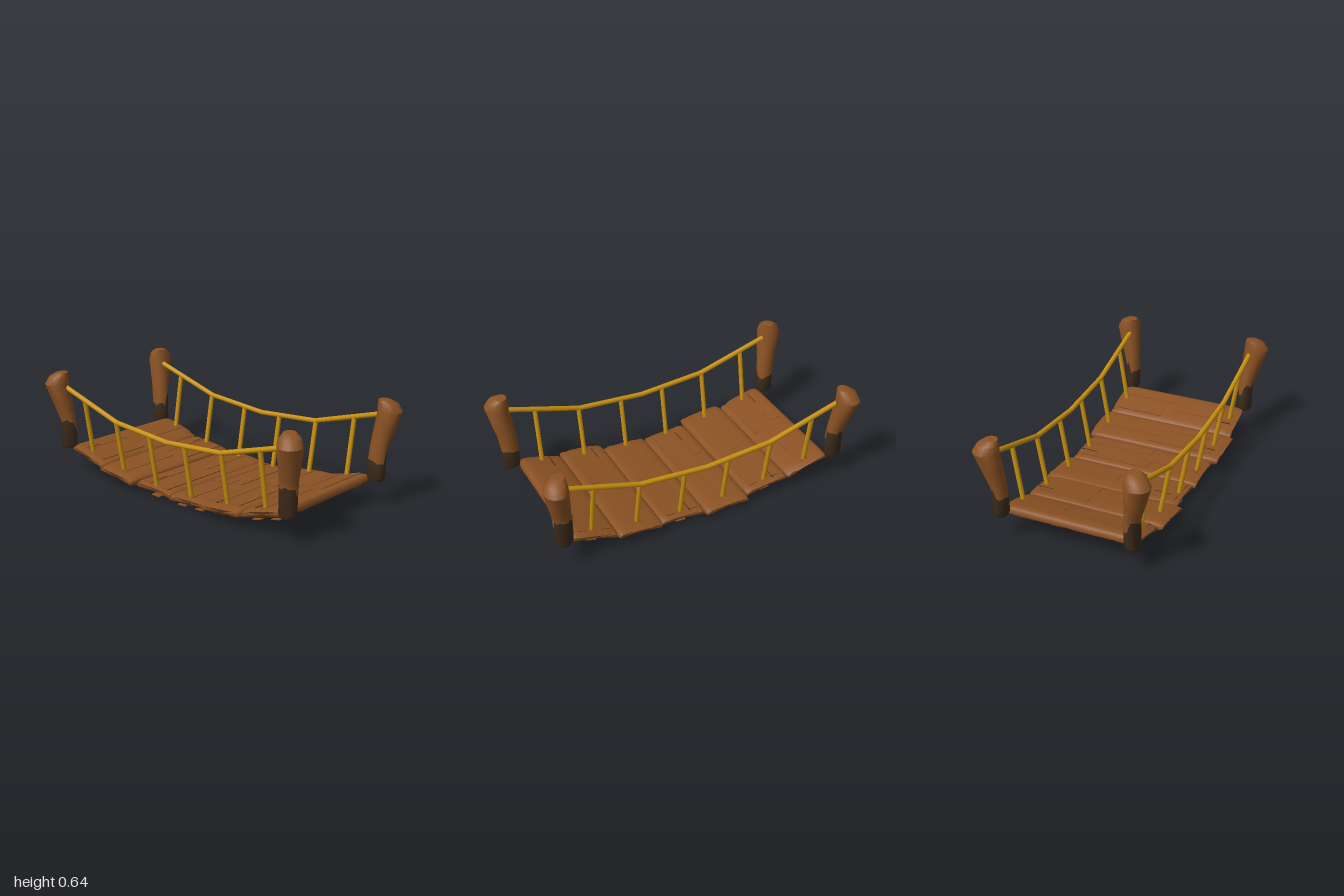
import * as THREE from 'three';
import { toCreasedNormals } from 'three/addons/utils/BufferGeometryUtils.js';

const V = (x, y, z) => new THREE.Vector3(x, y, z);
const mat = (name, color) => {
  const m = new THREE.MeshStandardMaterial({ color });
  m.name = name;
  return m;
};

// Skin a list of equal-length rings, cap both ends; isDark(i, k) picks material 1 for a cell
function loft(rings, isDark) {
  const n = rings[0].length, pos = [], light = [], dark = [];
  rings.forEach(r => r.forEach(p => pos.push(p.x, p.y, p.z)));
  for (let i = 0; i < rings.length - 1; i++) {
    for (let k = 0; k < n; k++) {
      const k2 = (k + 1) % n;
      const a = i * n + k, b = i * n + k2, c = b + n, d = a + n;
      (isDark(i, k) ? dark : light).push(a, d, c, a, c, b);
    }
  }
  [0, rings.length - 1].forEach(i => {
    const mid = V(0, 0, 0);
    rings[i].forEach(p => mid.addScaledVector(p, 1 / n));
    const m = pos.length / 3;
    pos.push(mid.x, mid.y, mid.z);
    const cell = i ? i - 1 : 0;
    for (let k = 0; k < n; k++) {
      const a = i * n + k, b = i * n + (k + 1) % n;
      (isDark(cell, 0) ? dark : light).push(m, i ? b : a, i ? a : b);
    }
  });
  const g = new THREE.BufferGeometry();
  g.setAttribute('position', new THREE.Float32BufferAttribute(pos, 3));
  g.setIndex([...light, ...dark]);
  g.addGroup(0, light.length, 0);
  g.addGroup(light.length, dark.length, 1);
  return toCreasedNormals(g, 0.65);
}

// Repeatable noise in -1..1
const noise = (a, b = 0) => {
  const s = Math.sin(a * 12.99 + b * 78.23) * 43758.5453;
  return 2 * (s - Math.floor(s)) - 1;
};

export function createModel() {
  const model = new THREE.Group();
  model.name = 'ropeBridge';
  const wood = mat('wood', 0x8b5224);
  const darkWood = mat('darkWood', 0x3e2d1c);
  const rope = mat('goldenRope', 0xc8900f);

  const add = (parent, name, geo, material) => {
    const m = new THREE.Mesh(geo, material);
    m.name = name;
    parent.add(m);
    return m;
  };
  const strut = (name, a, b, r) => {
    const m = add(model, name, new THREE.CylinderGeometry(r, r, a.distanceTo(b), 8), rope);
    m.position.copy(a).lerp(b, 0.5);
    m.quaternion.setFromUnitVectors(V(0, 1, 0), b.clone().sub(a).normalize());
  };

  // Planks: z, y, tilt, left end, right end, crack x, crack z offset
  const planks = [
    [-0.705, 0.128, 0.26, -0.42, 0.42, -0.32, -0.055],
    [-0.425, 0.078, 0.11, -0.445, 0.415, 0.34, -0.055],
    [-0.142, 0.047, 0.05, -0.405, 0.447, -0.28, -0.05],
    [0.142, 0.047, -0.05, -0.41, 0.41, 0.34, -0.05],
    [0.425, 0.078, -0.11, -0.448, 0.44, -0.34, -0.055],
    [0.705, 0.128, -0.26, -0.42, 0.42, -0.34, -0.045],
  ];
  const N = 28, STEPS = 30;
  planks.forEach(([z, y, tilt, xl, xr, crackX, crackZ], p) => {
    const plank = new THREE.Group();
    plank.name = 'plank' + (p + 1);
    plank.position.set(0, y, z);
    plank.rotation.x = tilt;
    model.add(plank);

    // Rounded board with worn ends and an uneven underside
    const rings = [];
    for (let i = 0; i <= STEPS; i++) {
      const t = i / STEPS, end = Math.min(i, STEPS - i);
      const sh = [0.62, 0.9][end] ?? 1, sw = [0.95, 0.985][end] ?? 1;
      const ring = [];
      for (let k = 0; k < N; k++) {
        const a = k / N * Math.PI * 2, c = Math.cos(a), s = Math.sin(a);
        const low = Math.max(0, -s);
        const inset = 0.035 * low + 0.006 * (1 + noise(Math.round(c * 2), p));
        const x0 = xl + inset, x1 = xr - inset;
        const wear = low * 0.004 * noise(i + p * 7, Math.round(c * 3));
        ring.push(V(x0 + (x1 - x0) * t,
          sh * 0.034 * Math.sign(s) * Math.sqrt(Math.abs(s)) + wear,
          sw * 0.142 * Math.sign(c) * Math.sqrt(Math.abs(c))));
      }
      rings.push(ring);
    }
    // Dark weathered patches under the plank ends
    const patch = (i, k) => {
      if (k < N * 0.55 || k > N * 0.95) return false;
      const end = Math.min(i, STEPS - 1 - i);
      return end < 3 + 2.5 * noise(k >> 1, p + (i > 15 ? 9 : 0));
    };
    add(plank, 'board', loft(rings, patch), [wood, darkWood]);

    // Raised grain strips above and below
    for (let j = 0; j < 3; j++) {
      const len = 0.36 + 0.1 * noise(j, p + 3);
      const side = (j + p) % 2 ? 1 : -1;
      [1, -1].forEach(up => {
        const g = add(plank, 'grainStrip', new THREE.BoxGeometry(len, 0.006, 0.06), wood);
        g.position.set(side * up * (0.375 - len / 2), up * 0.0335, -0.07 + j * 0.07);
      });
    }

    // Thin crack
    const crack = add(plank, 'crack', new THREE.BoxGeometry(0.1, 0.004, 0.004), darkWood);
    crack.position.set(crackX, 0.036, crackZ);
  });

  // Posts: y, centre x, radius x, centre z, radius z
  const profile = [
    [0.162, 0.4, 0.036, 0.885, 0.042],
    [0.18, 0.4, 0.046, 0.886, 0.053],
    [0.28, 0.401, 0.046, 0.888, 0.055],
    [0.375, 0.408, 0.049, 0.896, 0.056],
    [0.46, 0.425, 0.06, 0.911, 0.063],
    [0.575, 0.446, 0.076, 0.931, 0.07],
    [0.62, 0.436, 0.06, 0.922, 0.058],
    [0.644, 0.422, 0.037, 0.907, 0.035],
  ];
  for (const sx of [-1, 1]) for (const sz of [-1, 1]) {
    const rings = profile.map(([y, cx, rx, cz, rz], i) => Array.from({ length: 16 }, (_, k) => {
      const a = (k + 0.5) / 16 * Math.PI * 2, c = Math.cos(a), s = Math.sin(a);
      // The dark foot climbs higher on the outer side with a ragged edge
      const rag = i === 2 ? (c * sx > 0.1 ? 0.06 : 0) + 0.012 * noise(k, sx + sz * 3) : 0;
      return V(sx * cx + rx * c, y + rag, sz * cz + rz * s);
    }));
    add(model, (sz > 0 ? 'front' : 'back') + (sx > 0 ? 'Left' : 'Right') + 'Post',
      loft(rings, i => i < 2), [wood, darkWood]);
  }

  // Rope rails sagging between the posts, with leaning uprights
  const sag = [[-0.89, 0.556], [-0.42, 0.418], [0, 0.386], [0.42, 0.418], [0.89, 0.556]];
  for (const sx of [-1, 1]) {
    const pts = sag.map(([z, y]) => V(sx * 0.418, y, z));
    for (let i = 0; i < 4; i++) strut('handRail', pts[i], pts[i + 1], 0.0155);
    pts.slice(1, 4).forEach(q => {
      add(model, 'railJoint', new THREE.SphereGeometry(0.0155, 8, 6), rope).position.copy(q);
    });
    [[0.705, 0.5], [0.425, 0.416], [0.142, 0.394]].forEach(([z, top], i) => {
      for (const sz of [-1, 1]) {
        strut('upright', V(sx * 0.36, [0.14, 0.09, 0.06][i], sz * z), V(sx * 0.418, top, sz * z), 0.0145);
      }
    });
  }
  return model;
}
